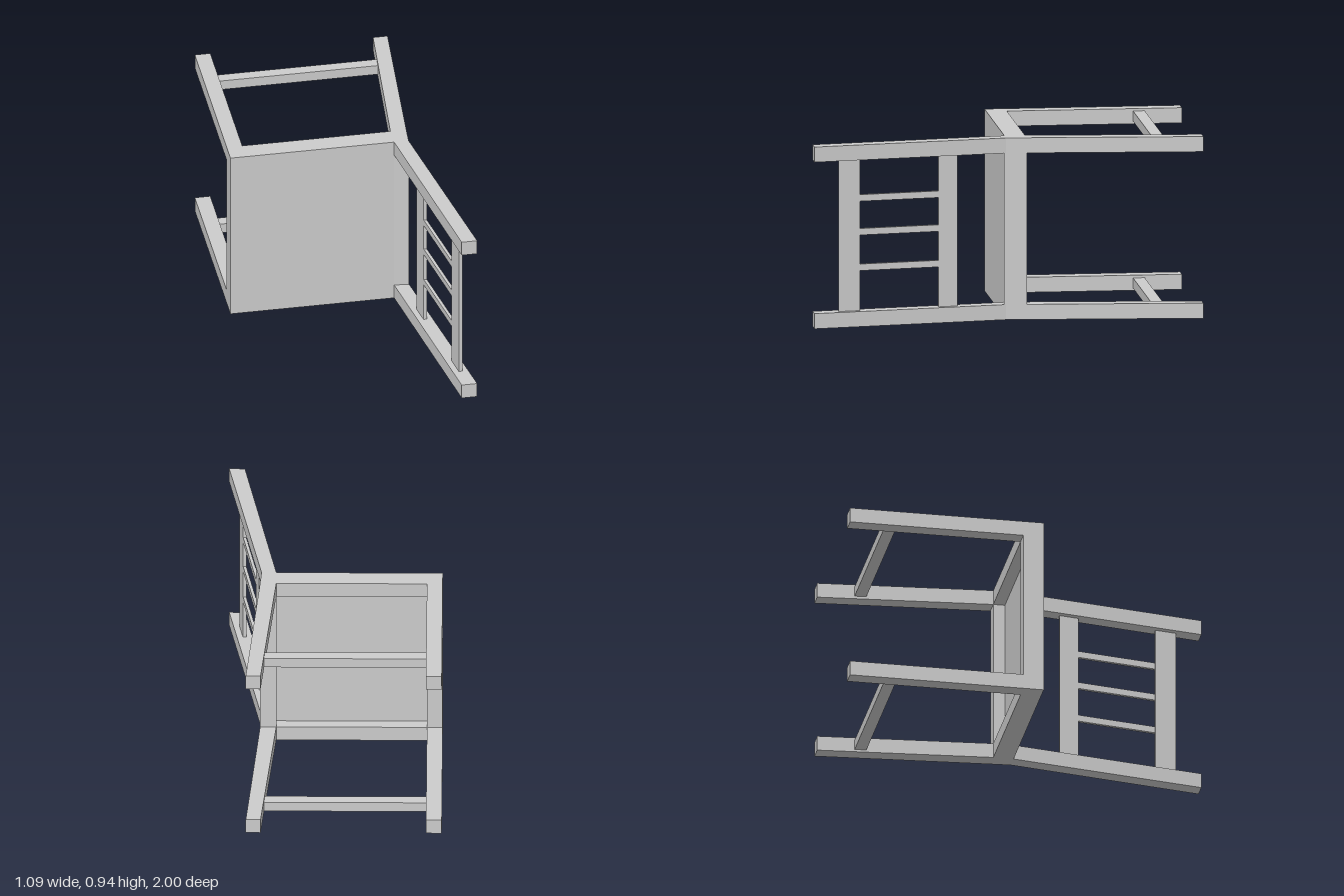
import * as THREE from 'three';

const H = 0.935;      // overall width of the chair, which lies on its side
const T = 0.078;      // thickness of the side frames
const material = new THREE.MeshStandardMaterial({ color: 0xcccccc, flatShading: true });

// Prism with an (x, z) outline, standing from y0 to y1
function prism(name, outline, y0, y1) {
  const shape = new THREE.Shape(outline.map(([x, z]) => new THREE.Vector2(x, -z)));
  const geo = new THREE.ExtrudeGeometry(shape, { depth: y1 - y0, bevelEnabled: false });
  geo.rotateX(-Math.PI / 2).translate(0, y0, 0);
  const mesh = new THREE.Mesh(geo, material);
  mesh.name = name;
  return mesh;
}

function box(name, x0, x1, y0, y1, z0, z1) {
  const mesh = new THREE.Mesh(new THREE.BoxGeometry(x1 - x0, y1 - y0, z1 - z0), material);
  mesh.position.set((x0 + x1) / 2, (y0 + y1) / 2, (z0 + z1) / 2);
  mesh.name = name;
  return mesh;
}

// Centre line of the raked backrest and a thin board running along it
const backX = (z) => 0.338 + 0.167 * z;
function backBoard(name, z0, z1, y0, y1, thickness) {
  const t = thickness / 2;
  return prism(name, [
    [backX(z0) - t, z0], [backX(z1) - t, z1], [backX(z1) + t, z1], [backX(z0) + t, z0],
  ], y0, y1);
}

export function createModel() {
  const chair = new THREE.Group();
  chair.name = 'chair';

  // Two mirrored side frames: front leg, bent rear leg with back upright, seat rail, stretcher
  for (const upper of [false, true]) {
    const side = new THREE.Group();
    side.name = upper ? 'upperSideFrame' : 'lowerSideFrame';
    const span = (a, b) => (upper ? [H - b, H - a] : [a, b]);
    const [y0, y1] = span(0, T);
    side.add(box('frontLeg', -0.545, -0.465, y0, y1, -1, 0));
    side.add(prism('rearLegAndUpright', [
      [0.3, 0], [0.465, 1], [0.545, 1], [0.375, 0], [0.375, -0.105], [0.45, -1], [0.375, -1], [0.3, -0.105],
    ].map(([x, z]) => (z === -0.105 && x > 0.3 ? [0.382, z] : [x, z])), y0, y1));
    side.add(box('seatRail', -0.465, 0.3, y0, y1, -0.105, 0));
    const [s0, s1] = span(0.012, 0.064);
    side.add(box('stretcher', -0.47, 0.362, s0, s1, -0.81, -0.75));
    chair.add(side);
  }

  // Seat: front and rear rails with a panel set flush in the top
  chair.add(box('frontSeatRail', -0.545, -0.465, T, H - T, -0.105, 0));
  chair.add(prism('rearSeatRail', [
    [0.3, 0], [0.375, 0.01], [0.382, -0.105], [0.3, -0.105],
  ], T, H - T));
  chair.add(box('seatPanel', -0.465, 0.3, T, H - T, -0.045, 0));

  // Backrest: two wide boards joined by three slats
  const back = new THREE.Group();
  back.name = 'backrest';
  back.add(backBoard('lowerBackBoard', 0.25, 0.35, T, H - T, 0.018));
  back.add(backBoard('topBackBoard', 0.76, 0.87, T, H - T, 0.018));
  for (const y of [0.3, 0.483, 0.657]) {
    back.add(backBoard('backSlat', 0.35, 0.76, y - 0.017, y + 0.017, 0.016));
  }
  chair.add(back);
  return chair;
}
